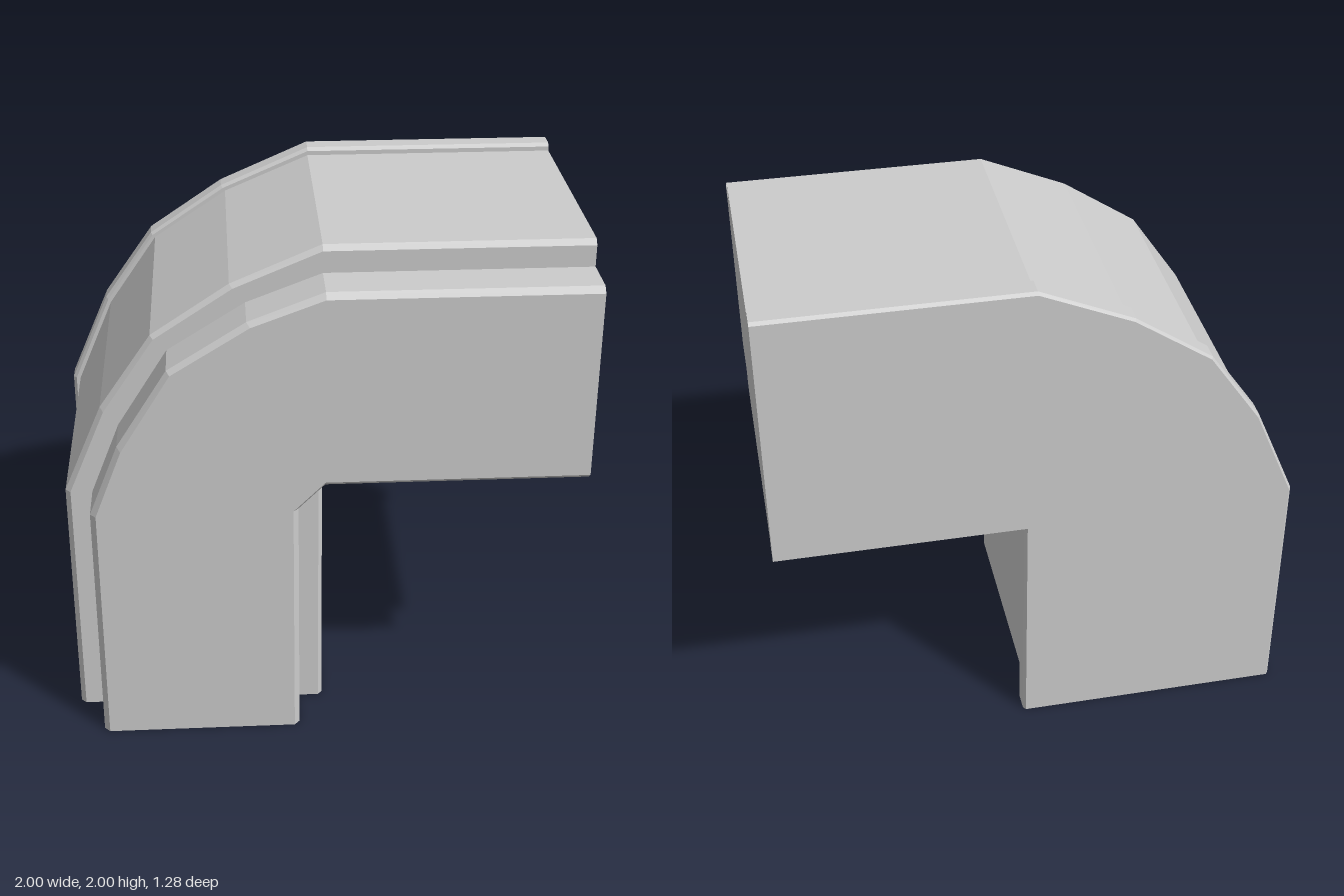
import * as THREE from 'three';

// Cross-section, back to front: [z, inset from outer edge, height of inner edge above the elbow pivot]
const SECTION = [
  [-0.64, 0.01, -0.03], [-0.627, 0, -0.04], [-0.555, 0, -0.04], [-0.542, 0.013, -0.03],
  [-0.542, 0.03, 0], [0.425, 0.03, 0], [0.445, 0.05, 0.015], [0.445, 0.133, 0.1],
  [0.617, 0.133, 0.1], [0.64, 0.155, 0.12],
];

// Outer edge stations along the bend: [x, y, dx, dy], with the shift for a full inset
const STATIONS = [
  [-1, 0, 0.155, 0], [-1, 0.99, 0.155, 0], [-0.84, 1.36, 0.1, -0.1], [-0.64, 1.645, 0.09, -0.08],
  [-0.345, 1.845, 0.085, -0.1], [0.01, 2, 0, -0.155], [1, 2, 0, -0.155],
];
const PIVOT = [0.01, 0.99];

// Inner edge: a sharp corner for the lip, a straight chamfer where it is set back
function innerPoint(s, z, d) {
  const [px, py] = PIVOT;
  if (s === 0) return [px - d, 0, z];
  if (s === STATIONS.length - 1) return [1, py + d, z];
  if (d <= 0) return [px - d, py + d, z];
  const t = (s - 1) / (STATIONS.length - 3);
  return [px - d * (1 - t), py + d * t, z];
}

function createSweep() {
  const positions = [];
  const triangle = (a, b, c) => {
    const [A, B, C] = [a, b, c].map((p) => new THREE.Vector3(...p));
    if (B.sub(A).cross(C.sub(A)).length() > 1e-9) positions.push(...a, ...b, ...c);
  };
  const quad = (a, b, c, d) => { triangle(a, b, c); triangle(a, c, d); };

  const outer = STATIONS.map(([x, y, dx, dy]) =>
    SECTION.map(([z, inset]) => [x + dx * inset / 0.155, y + dy * inset / 0.155, z]));
  const inner = STATIONS.map((_, s) => SECTION.map(([z, , d]) => innerPoint(s, z, d)));
  const rings = outer.map((o, s) => [...o, ...[...inner[s]].reverse()]);

  // Skin between neighbouring stations
  for (let s = 0; s < rings.length - 1; s++) {
    const a = rings[s], b = rings[s + 1];
    for (let i = 0; i < a.length; i++) {
      const j = (i + 1) % a.length;
      quad(a[i], a[j], b[j], b[i]);
    }
  }
  // Flat caps on both open ends
  const last = rings.length - 1;
  for (let i = 0; i < SECTION.length - 1; i++) {
    quad(outer[0][i], inner[0][i], inner[0][i + 1], outer[0][i + 1]);
    quad(outer[last][i], outer[last][i + 1], inner[last][i + 1], inner[last][i]);
  }

  const geometry = new THREE.BufferGeometry();
  geometry.setAttribute('position', new THREE.Float32BufferAttribute(positions, 3));
  geometry.computeVertexNormals();
  return geometry;
}

export function createModel() {
  const group = new THREE.Group();
  group.name = 'elbowTrim';
  const material = new THREE.MeshStandardMaterial({ color: 0xcccccc, flatShading: true });
  const elbow = new THREE.Mesh(createSweep(), material);
  elbow.name = 'elbowBody';
  group.add(elbow);
  return group;
}
